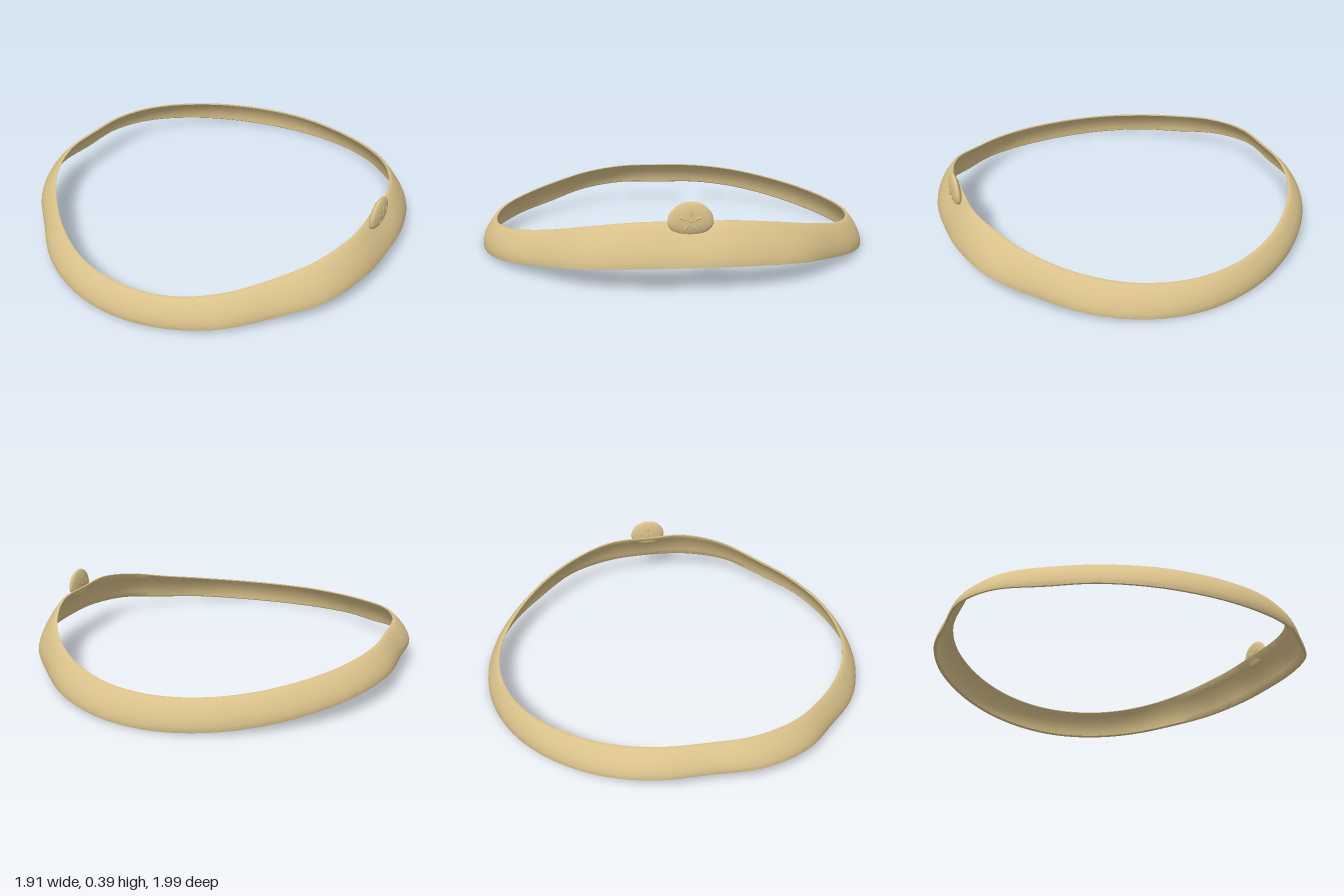
import * as THREE from 'three';
import { toCreasedNormals } from 'three/addons/utils/BufferGeometryUtils.js';

// Radii every 15 degrees, from +x towards +z
const BOTTOM = [.953, .967, .98, .958, .978, .988, .997, .998, .987, .966, .993, .99,
  .953, .973, .98, .977, .98, .988, .998, .997, .986, .966, .98, .966];
const TOP = [.835, .862, .873, .868, .893, .914, .915, .909, .89, .882, .893, .889,
  .866, .878, .887, .892, .904, .916, .92, .908, .893, .88, .866, .857];

const loop = radii => new THREE.CatmullRomCurve3(radii.map((r, i) => {
  const a = i / radii.length * Math.PI * 2;
  return new THREE.Vector3(r * Math.cos(a), 0, r * Math.sin(a));
}), true, 'catmullrom', 0.5);

const bottomY = x => 0.11 * (x / 0.953) ** 2;
const topY = x => x > 0 ? 0.14 + 0.15 * (x / 0.835) ** 2.5 : 0.14 + 0.095 * (x / 0.87) ** 2;

// Flared wall: a closed cross-section carried round the two wavy loops
function bandGeometry() {
  const lower = loop(BOTTOM), upper = loop(TOP), steps = 192, wall = 0.017;
  const arch = k => 0.015 * Math.sin(Math.PI * k);
  // [height fraction, radial offset], counter-clockwise
  const section = [[0, -0.004], [0.04, 0]];
  for (let k = 0.2; k < 0.9; k += 0.15) section.push([k, arch(k)]);
  section.push([0.97, 0.001], [1, -0.004], [1, 0.002 - wall], [0.97, -wall]);
  for (let k = 0.8; k > 0.1; k -= 0.2) section.push([k, arch(k) - wall]);
  section.push([0.04, -wall], [0, 0.003 - wall]);
  const n = section.length, pos = [], index = [];
  for (let j = 0; j < steps; j++) {
    const b = lower.getPoint(j / steps), t = upper.getPoint(j / steps);
    const out = t.clone().normalize();
    const y0 = bottomY(b.x), y1 = topY(t.x);
    t.addScaledVector(out, wall);
    for (let i = 0; i < n; i++) {
      const [k, off] = section[i];
      const p = b.clone().lerp(t, k).addScaledVector(out, off);
      pos.push(p.x, y0 + (y1 - y0) * k, p.z);
      const i2 = (i + 1) % n, j2 = (j + 1) % steps;
      const a = j * n + i, u = j * n + i2, v = j2 * n + i, w = j2 * n + i2;
      index.push(a, u, v, u, w, v);
    }
  }
  const g = new THREE.BufferGeometry();
  g.setAttribute('position', new THREE.Float32BufferAttribute(pos, 3));
  g.setIndex(index);
  return toCreasedNormals(g, 0.6);
}

// Lens-shaped disc, flatter along its lower edge
function discGeometry() {
  const g = new THREE.SphereGeometry(1, 40, 28);
  const p = g.attributes.position;
  for (let i = 0; i < p.count; i++) {
    const y = p.getY(i);
    p.setXYZ(i, p.getX(i) * 0.024, y * (y > 0 ? 0.09 : 0.062), p.getZ(i) * 0.1);
  }
  g.computeVertexNormals();
  return g;
}

export function createModel() {
  const sand = new THREE.MeshStandardMaterial({ color: 0xd9c18a });
  sand.name = 'sand';
  const model = new THREE.Group();
  model.name = 'headband';
  const add = (parent, geometry, name) => {
    const m = new THREE.Mesh(geometry, sand);
    m.name = name;
    parent.add(m);
    return m;
  };

  add(model, bandGeometry(), 'band');

  // Sand dollar ornament with five slim petals on each face
  const ornament = new THREE.Group();
  ornament.name = 'ornament';
  ornament.position.set(0.875, 0.296, 0);
  add(ornament, discGeometry(), 'disc');
  const petal = new THREE.SphereGeometry(1, 12, 8).scale(0.003, 0.018, 0.006);
  for (const side of [1, -1]) {
    for (let i = 0; i < 5; i++) {
      const a = i / 5 * Math.PI * 2;
      const m = add(ornament, petal, 'petal');
      m.position.set(side * 0.0215, 0.008 + 0.034 * Math.cos(a), 0.034 * Math.sin(a));
      m.rotation.x = a;
    }
    add(ornament, new THREE.SphereGeometry(1, 12, 8).scale(0.003, 0.007, 0.007), 'centre')
      .position.set(side * 0.0235, 0.008, 0);
  }
  model.add(ornament);
  return model;
}
